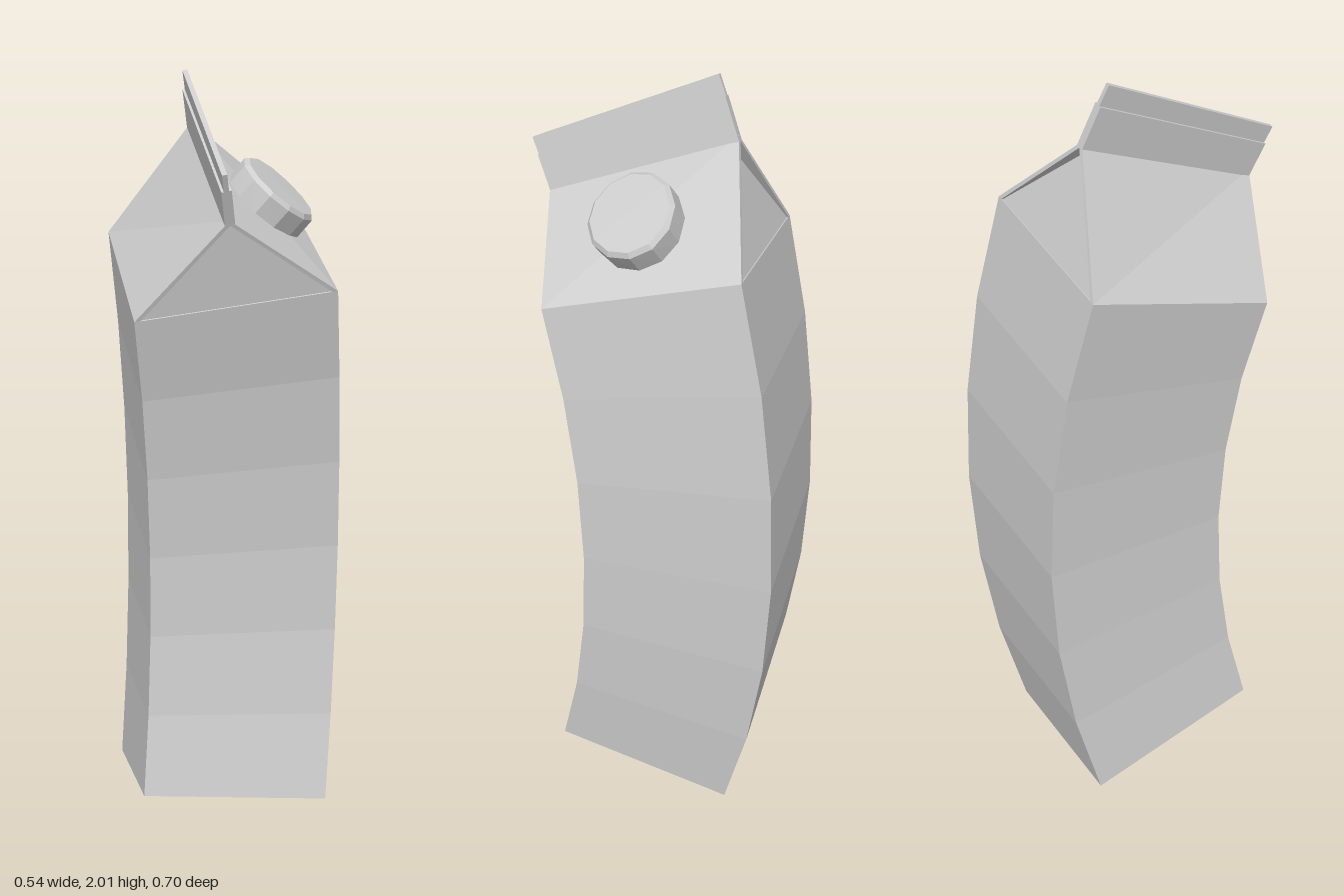
import * as THREE from 'three';

// Bend: every part is modelled on a straight carton (y = 0 at mid-height),
// then wrapped around an arc that bulges to the back and left.
const R = 2.5;
const DX = 0.4, DZ = -0.917; // bulge direction
const OFFSET = { x: 0.023, y: 0.824, z: -0.1 };

function bend(source) {
  const geo = source.index ? source.toNonIndexed() : source;
  const p = geo.attributes.position;
  for (let i = 0; i < p.count; i++) {
    const x = p.getX(i), z = p.getZ(i), a = p.getY(i) / R;
    const u = x * DX + z * DZ;
    const v = -x * DZ + z * DX;
    const out = (R + u) * Math.cos(a) - R;
    p.setXYZ(i,
      out * DX - v * DZ + OFFSET.x,
      (R + u) * Math.sin(a) + OFFSET.y,
      out * DZ + v * DX + OFFSET.z);
  }
  geo.computeVertexNormals(); // separate triangles give flat facets
  return geo;
}

export function createModel() {
  const model = new THREE.Group();
  model.name = 'bentCarton';
  const card = new THREE.MeshStandardMaterial({ color: 0xcccccc });
  card.name = 'light grey card';

  const add = (name, geo) => {
    const mesh = new THREE.Mesh(bend(geo), card);
    mesh.name = name;
    model.add(mesh);
  };

  const W = 0.245;   // half width
  const RIM = 0.74;  // top of the body
  const RIDGE = 0.99;

  // Body with six bands along the curve
  add('body', new THREE.BoxGeometry(2 * W, 2 * RIM, 2 * W, 1, 6, 1));

  // Gabled roof: thin folded panel
  const fold = new THREE.Shape([
    [-W, RIM], [-W + 0.014, RIM], [0, RIDGE - 0.014], [W - 0.014, RIM], [W, RIM], [0, RIDGE],
  ].map(([x, y]) => new THREE.Vector2(x, y)));
  const roof = new THREE.ExtrudeGeometry(fold, { depth: 2 * W, bevelEnabled: false });
  roof.translate(0, 0, -W);
  add('roof', roof);

  // Gable triangles, leaning slightly inwards under the roof
  for (const side of [1, -1]) {
    const gable = new THREE.BufferGeometry();
    gable.setAttribute('position', new THREE.Float32BufferAttribute([
      -side * (W - 0.008), RIM, side * (W - 0.004),
      side * (W - 0.008), RIM, side * (W - 0.004),
      0, RIDGE - 0.008, side * (W - 0.03),
    ], 3));
    add(side > 0 ? 'frontGable' : 'backGable', gable);
  }

  // Sealed fin on the ridge: thicker fold below, thin lip above
  const fin = (name, width, bottom, top) => {
    const geo = new THREE.BoxGeometry(width, top - bottom, 2 * W);
    geo.translate(0, (top + bottom) / 2, 0);
    add(name, geo);
  };
  fin('finFold', 0.024, RIDGE - 0.015, 1.074);
  fin('finLip', 0.012, 1.07, 1.121);

  // Screw cap on the left roof slope
  const cap = new THREE.LatheGeometry([
    [0.11, -0.01], [0.11, 0.055], [0.1, 0.065], [0, 0.065],
  ].map(([r, y]) => new THREE.Vector2(r, y)), 12);
  cap.rotateZ(-Math.PI / 4);
  cap.translate(0.124, 0.865, 0);
  add('cap', cap);

  return model;
}
